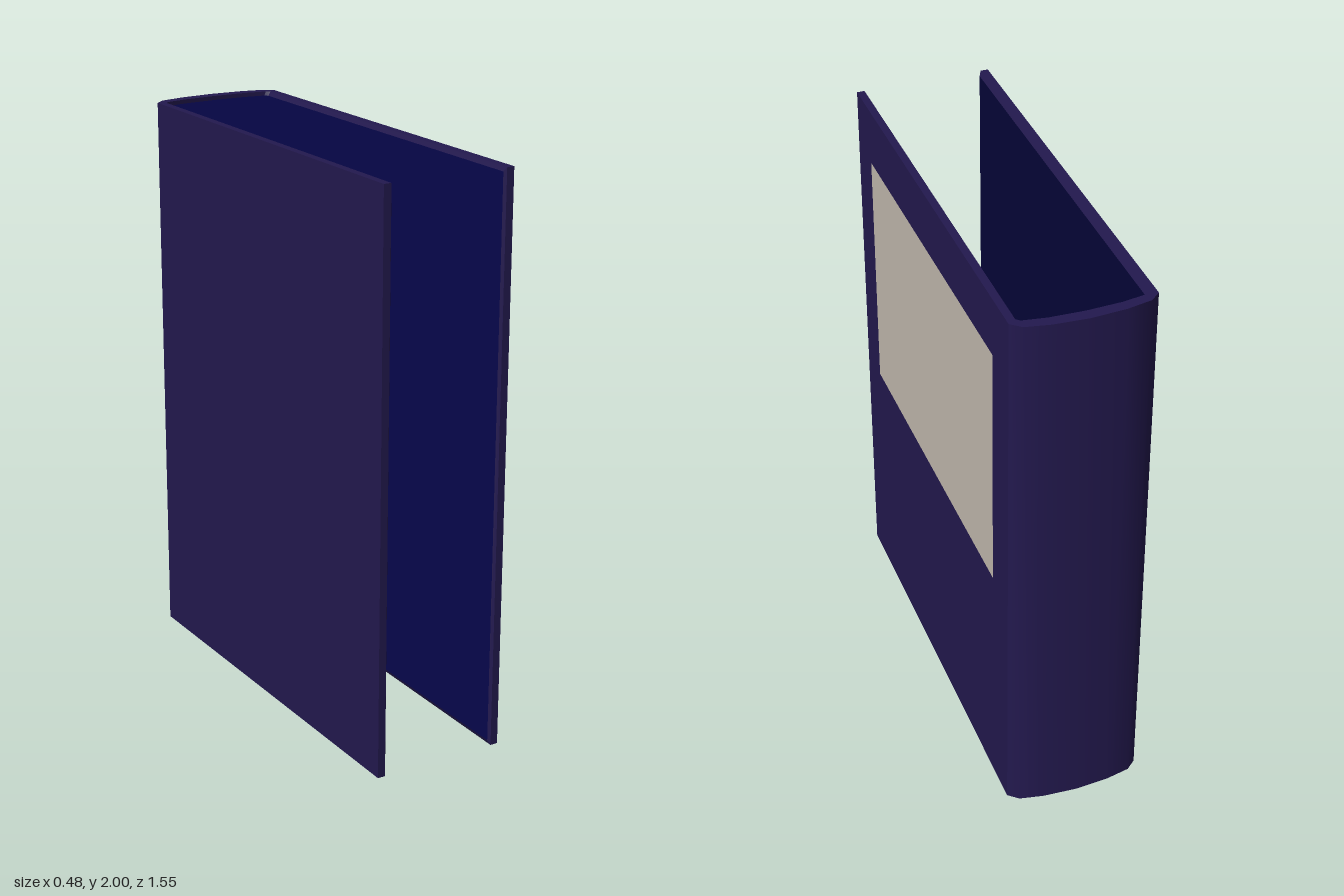
import * as THREE from 'three';
import { toCreasedNormals } from 'three/addons/utils/BufferGeometryUtils.js';

const H = 2;

// mirror the -x half of a plan profile [x, z] (last point on the axis) to +x
const mirrored = (half) => [...half, ...half.slice(0, -1).reverse().map(([x, z]) => [-x, z])];

const outer = mirrored([[-0.24, 0.775], [-0.24, -0.725], [-0.205, -0.755], [-0.12, -0.772], [0, -0.78]]);
const inner = mirrored([[-0.213, 0.775], [-0.213, -0.708], [-0.2, -0.72], [-0.12, -0.733], [0, -0.738]]);
const lining = mirrored([[-0.206, 0.765], [-0.205, -0.71], [-0.195, -0.722], [-0.12, -0.735], [0, -0.74]]);

// place a plan profile at height y
const at = (profile, y) => profile.map(([x, z]) => new THREE.Vector3(x, y, z));

function meshFrom(name, color, triangles, creased) {
  let geo = new THREE.BufferGeometry().setFromPoints(triangles.flat());
  if (creased) geo = toCreasedNormals(geo, 0.6);
  else geo.setAttribute('normal', new THREE.BufferAttribute(
    new Float32Array(triangles.length * 9).map((_, i) => (i % 3 === 2 ? 1 : 0)), 3));
  const mesh = new THREE.Mesh(geo, new THREE.MeshStandardMaterial({ color }));
  mesh.name = name;
  return mesh;
}

export function createModel() {
  const group = new THREE.Group();
  group.name = 'bookCover';

  const oT = at(outer, H), oB = at(outer, 0);
  const iT = at(inner, H), iB = at(inner, 0);
  const A = at(lining, H - 0.015), B = at(lining, 0.015);

  // cover shell: outside, top and bottom rims, front edges and inner bevel
  const shell = [];
  const quad = (a, b, c, d) => shell.push([a, b, c], [a, c, d]);
  for (let i = 0; i < outer.length - 1; i++) {
    const j = i + 1;
    quad(oB[i], oT[i], oT[j], oB[j]);
    quad(oT[i], iT[i], iT[j], oT[j]);
    quad(oB[i], oB[j], iB[j], iB[i]);
    quad(iT[i], A[i], A[j], iT[j]);
    quad(iB[i], iB[j], B[j], B[i]);
  }
  const e = outer.length - 1;
  quad(oB[0], iB[0], iT[0], oT[0]);
  quad(iB[0], B[0], A[0], iT[0]);
  quad(iB[e], oB[e], oT[e], iT[e]);
  quad(B[e], iB[e], iT[e], A[e]);
  group.add(meshFrom('coverShell', 0x23194f, shell, true));

  // lining: one sheet folded from three fans between upper and lower edges
  const sheet = [];
  for (let i = 0; i < 6; i++) sheet.push([A[0], B[i], B[i + 1]]);
  for (let i = 0; i < 5; i++) sheet.push([B[6], A[i + 1], A[i]]);
  sheet.push([A[5], B[6], B[7]], [A[5], B[7], B[8]]);
  for (let i = 5; i < 8; i++) sheet.push([B[8], A[i + 1], A[i]]);
  group.add(meshFrom('innerLining', 0x0b0b60, sheet, false));

  // blank panel on the left cover
  const panel = new THREE.Mesh(
    new THREE.PlaneGeometry(1.22, 0.9),
    new THREE.MeshStandardMaterial({ color: 0xc4bbb0 }));
  panel.name = 'coverPanel';
  panel.rotation.y = Math.PI / 2;
  panel.position.set(0.242, 1.35, 0.02);
  group.add(panel);

  return group;
}
